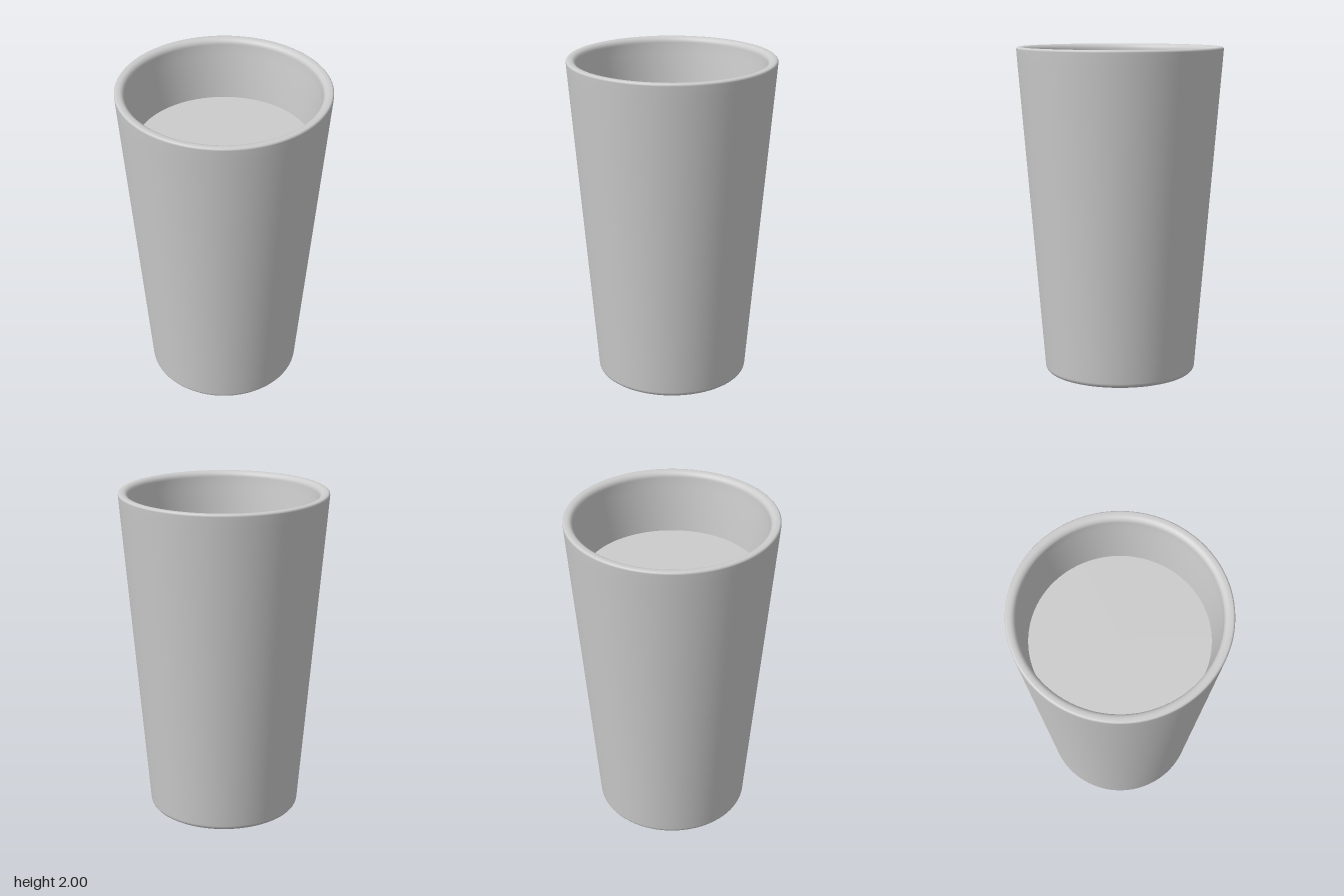
import * as THREE from 'three';

const SEGMENTS = 96;

// Quarter-round corner from angle a0 to a1, as profile points.
function arc(cx, cy, r, a0, a1, steps = 6) {
  return Array.from({ length: steps + 1 }, (_, i) => {
    const a = a0 + ((a1 - a0) * i) / steps;
    return new THREE.Vector2(cx + r * Math.cos(a), cy + r * Math.sin(a));
  });
}

export function createModel() {
  const group = new THREE.Group();
  group.name = 'tumbler';
  const material = new THREE.MeshStandardMaterial({ color: 0xcccccc, roughness: 0.6 });
  const add = (name, geometry) => {
    const mesh = new THREE.Mesh(geometry, material);
    mesh.name = name;
    group.add(mesh);
    return mesh;
  };
  const P = (x, y) => new THREE.Vector2(x, y);

  // Tapered cup wall: rounded foot, outer side, rounded rim, inner side, floor.
  add('cup', new THREE.LatheGeometry([
    P(0, 0.01),
    P(0.42, 0.01),
    ...arc(0.43, 0.042, 0.032, -Math.PI / 2, -0.08),
    P(0.47, 0.14),
    P(0.616, 1.91),
    ...arc(0.609, 1.987, 0.013, -0.08, Math.PI / 2, 4),
    ...arc(0.597, 1.966, 0.034, Math.PI / 2, Math.PI, 6),
    P(0.558, 1.9),
    P(0.52, 1.626),
    P(0.41, 0.16),
    P(0.38, 0.12),
    P(0, 0.12),
  ], SEGMENTS));

  // Flat fill surface inside the cup.
  const fill = add('fillSurface', new THREE.CircleGeometry(0.521, SEGMENTS));
  fill.rotation.x = -Math.PI / 2;
  fill.position.y = 1.626;

  // Underside disc, facing down only.
  const base = add('baseDisc', new THREE.CircleGeometry(0.457, SEGMENTS));
  base.rotation.x = Math.PI / 2;

  return group;
}
